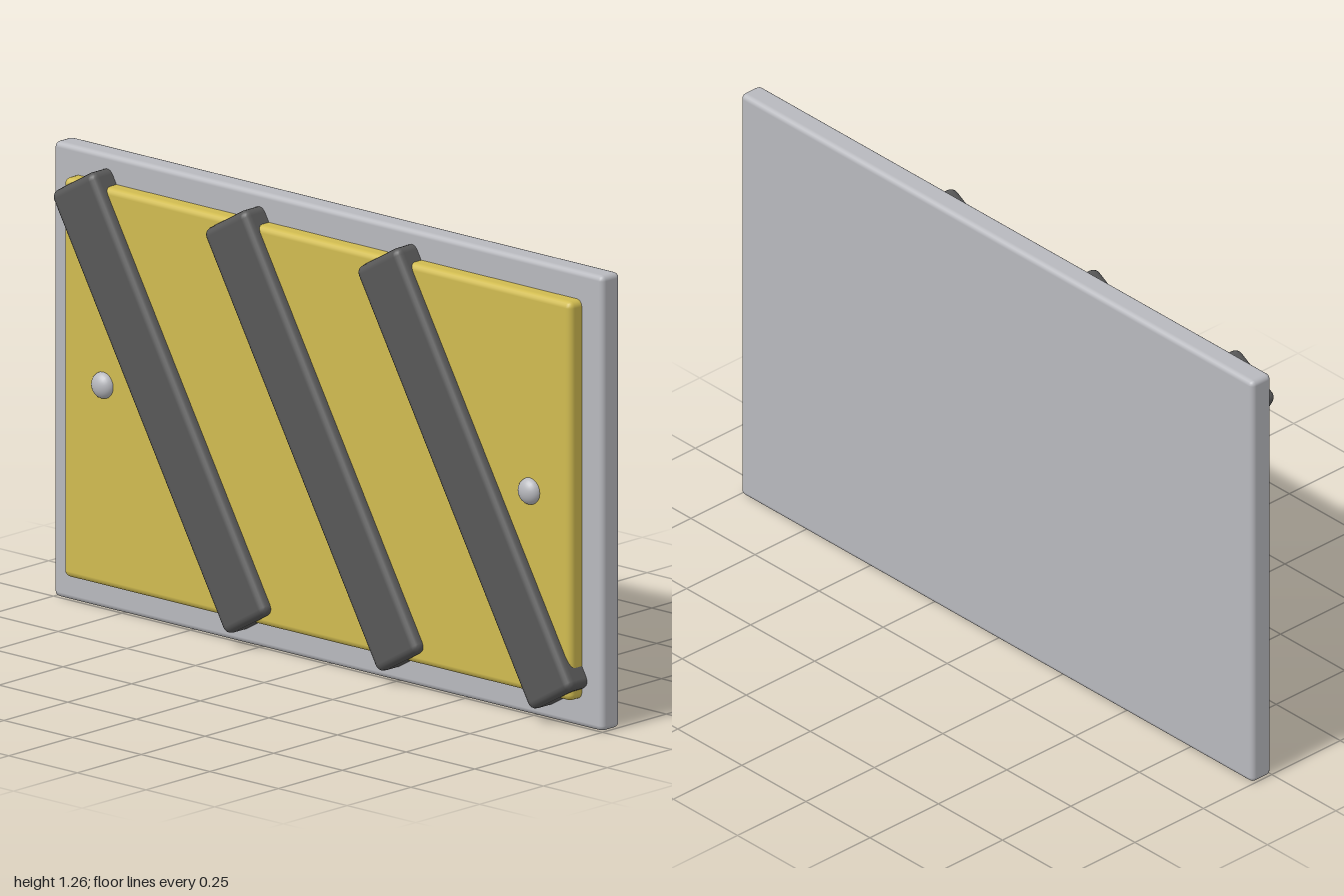
import * as THREE from 'three';
import { RoundedBoxGeometry } from 'three/addons/geometries/RoundedBoxGeometry.js';

export function createModel() {
  const group = new THREE.Group();
  group.name = 'hazardPanel';

  const steel = new THREE.MeshStandardMaterial({ color: 0xb8b9be });
  steel.name = 'steelGrey';
  const yellow = new THREE.MeshStandardMaterial({ color: 0xd0bb50 });
  yellow.name = 'warningYellow';
  const dark = new THREE.MeshStandardMaterial({ color: 0x585858 });
  dark.name = 'darkGrey';

  const midY = 0.63;

  // Rounded slab spanning zBack..zFront, centred on the panel height
  function slab(name, material, w, h, zBack, zFront, radius, x = 0) {
    const geometry = new RoundedBoxGeometry(w, h, zFront - zBack, 2, radius);
    const mesh = new THREE.Mesh(geometry, material);
    mesh.name = name;
    mesh.position.set(x, midY, (zBack + zFront) / 2);
    group.add(mesh);
    return mesh;
  }

  // Backing plate and raised face panel
  slab('backPlate', steel, 2, 1.26, -0.071, 0, 0.015);
  slab('facePanel', yellow, 1.85, 1.105, -0.03, 0.045, 0.018);

  // Three raised diagonal bars, seated in the plate
  [-0.555, 0, 0.555].forEach((x, i) => {
    const bar = slab('diagonalBar' + (i + 1), dark, 0.18, 1.277, -0.03, 0.072, 0.022, x);
    bar.rotation.z = Math.PI / 6;
  });

  // Domed rivets
  const dome = new THREE.SphereGeometry(0.037, 20, 8, 0, Math.PI * 2, 0, Math.PI / 2);
  dome.rotateX(Math.PI / 2);
  dome.scale(1, 1, 0.73);
  for (const side of [-1, 1]) {
    const rivet = new THREE.Mesh(dome, steel);
    rivet.name = side > 0 ? 'leftRivet' : 'rightRivet';
    rivet.position.set(side * 0.777, midY + 0.005, 0.044);
    group.add(rivet);
  }

  return group;
}
